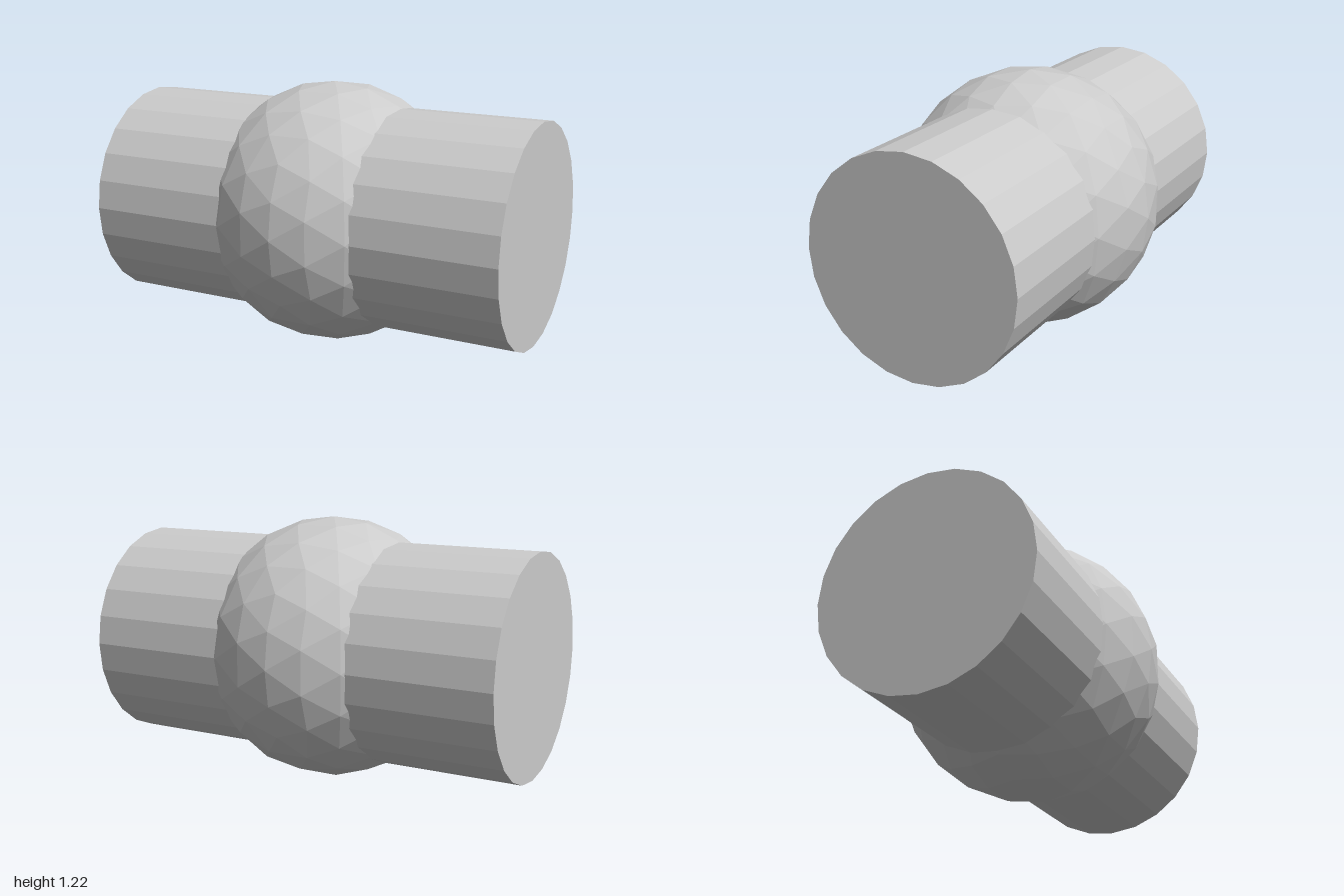
import * as THREE from 'three';

const CENTER_Y = 0.61;

// Icosphere made by splitting every edge in half repeatedly
function icosphere(radius, splits) {
  let geo = new THREE.IcosahedronGeometry(radius, 0);
  for (let i = 0; i < splits; i++) {
    const corners = Array.from(geo.attributes.position.array);
    const order = Array.from({ length: corners.length / 3 }, (_, k) => k);
    geo = new THREE.PolyhedronGeometry(corners, order, radius, 1);
  }
  return geo;
}

export function createModel() {
  const group = new THREE.Group();
  group.name = 'ballAndShaft';
  const material = new THREE.MeshStandardMaterial({ color: 0xcccccc, flatShading: true });

  // Faceted ball in the middle
  const ball = new THREE.Mesh(icosphere(0.61, 2), material);
  ball.name = 'ball';

  // 24-sided shaft running through the ball along x
  const shaftGeo = new THREE.CylinderGeometry(0.508, 0.508, 2, 24);
  shaftGeo.rotateZ(Math.PI / 2);
  const shaft = new THREE.Mesh(shaftGeo, material);
  shaft.name = 'shaft';

  for (const part of [ball, shaft]) {
    part.position.y = CENTER_Y;
    group.add(part);
  }
  return group;
}
